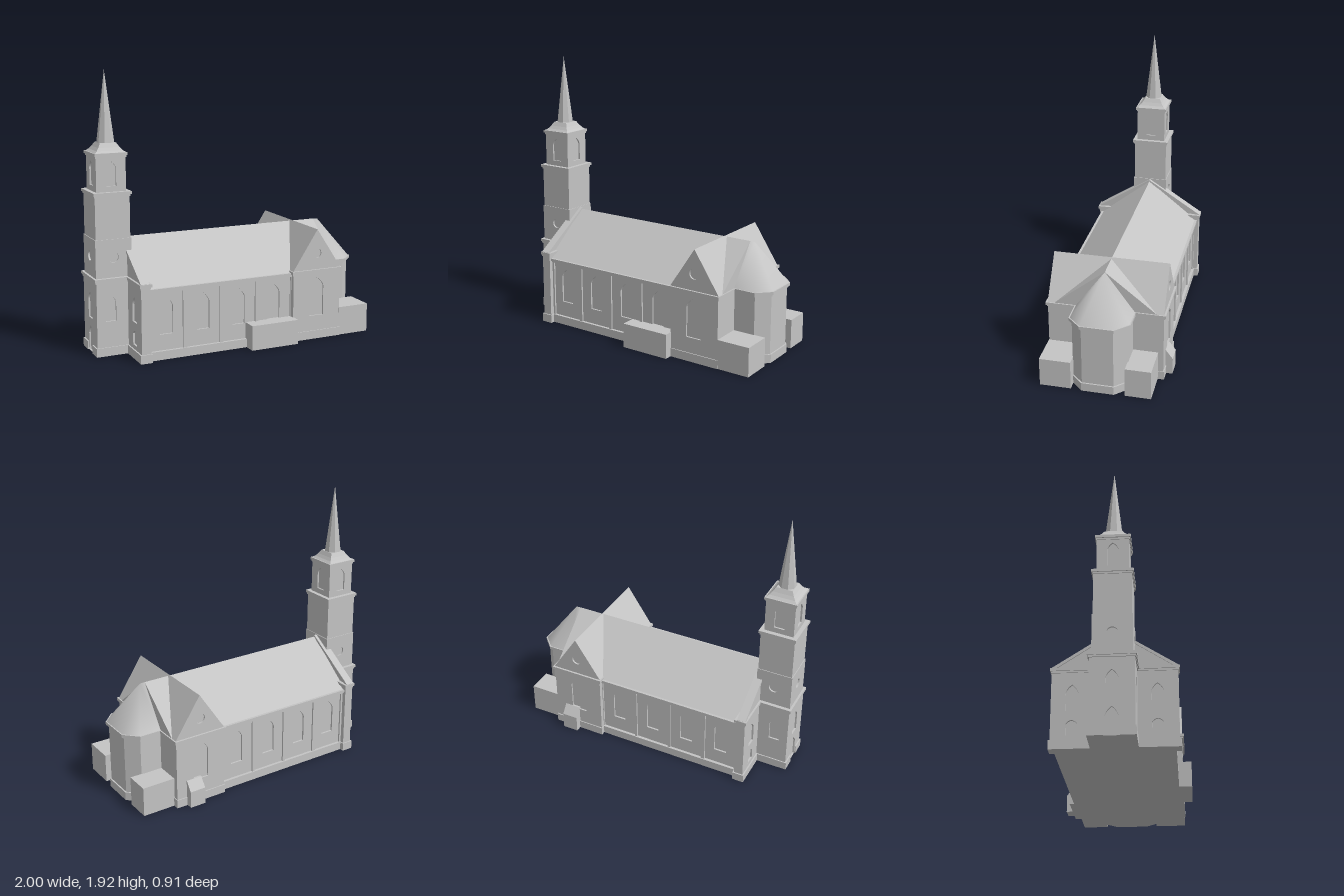
import * as THREE from 'three';

const stone = new THREE.MeshStandardMaterial({ color: 0xc4c4c4 });
stone.name = 'stone grey';

export function createModel() {
  const model = new THREE.Group();
  model.name = 'church';
  model.position.z = -0.006;

  const add = (name, geo) => {
    const m = new THREE.Mesh(geo, stone);
    m.name = name;
    model.add(m);
    return m;
  };
  const box = (name, x0, x1, y0, y1, z0, z1) =>
    add(name, new THREE.BoxGeometry(x1 - x0, y1 - y0, z1 - z0)
      .translate((x0 + x1) / 2, (y0 + y1) / 2, (z0 + z1) / 2));
  const poly = pts => new THREE.Shape(pts.map(p => new THREE.Vector2(...p)));
  const rect = (a, b, c, d) => poly([[a, c], [b, c], [b, d], [a, d]]);
  const extrude = (shape, depth) =>
    new THREE.ExtrudeGeometry(shape, { depth, bevelEnabled: false, curveSegments: 10 });

  // pointed arch and round openings
  const arch = (cx, y0, hw, spring, top) => {
    const p = new THREE.Path();
    p.moveTo(cx - hw, y0);
    p.lineTo(cx + hw, y0);
    p.lineTo(cx + hw, spring);
    p.quadraticCurveTo(cx + hw * 0.75, (spring + top) / 2 + 0.005, cx, top);
    p.quadraticCurveTo(cx - hw * 0.75, (spring + top) / 2 + 0.005, cx - hw, spring);
    p.lineTo(cx - hw, y0);
    return p;
  };
  const round = (cx, cy, r) => new THREE.Path().absarc(cx, cy, r, 0, Math.PI * 2);

  // wall slabs facing z (outline in x,y) and facing x (outline in z,y)
  const slabZ = (name, shape, holes, z0, z1) => {
    shape.holes = holes;
    return add(name, extrude(shape, z1 - z0).translate(0, 0, z0));
  };
  const slabX = (name, shape, holes, x0, x1) => {
    shape.holes = holes;
    return add(name, extrude(shape, x1 - x0).rotateY(-Math.PI / 2).translate(x1, 0, 0));
  };
  const bothSides = (name, makeShape, makeHoles, z0, z1) => {
    slabZ(name + 'Front', makeShape(), makeHoles(), z0, z1);
    slabZ(name + 'Back', makeShape(), makeHoles(), -z1, -z0);
  };

  // nave: core, window wall, pilaster frame, plinth, cornice, roof
  box('naveCore', -0.72, 0.745, 0, 0.49, -0.341, 0.341);
  const bayWindows = [-0.572, -0.305, -0.037, 0.235];
  const bays = [[-0.685, -0.455], [-0.428, -0.182], [-0.16, 0.088], [0.107, 0.365]];
  bothSides('naveWall', () => rect(-0.7, 0.38, 0, 0.48),
    () => bayWindows.map(x => arch(x, 0.17, 0.047, 0.365, 0.425)), 0.34, 0.354);
  bothSides('navePilasters', () => rect(-0.7, 0.38, 0, 0.48),
    () => bays.map(([a, b]) => rect(a, b, 0.06, 0.462)), 0.353, 0.366);
  box('navePlinth', -0.7, 0.38, 0, 0.06, -0.374, 0.374);
  box('naveFrieze', -0.7, 0.38, 0.464, 0.478, -0.374, 0.374);
  box('naveCornice', -0.7, 0.38, 0.476, 0.494, -0.384, 0.384);
  slabX('naveRoof', poly([[-0.384, 0.48], [0.384, 0.48], [0, 0.785]]), [], -0.72, 0.748);

  // transept with gables on both sides
  box('transeptCore', 0.37, 0.745, 0, 0.49, -0.386, 0.386);
  bothSides('transeptGable',
    () => poly([[0.37, 0], [0.745, 0], [0.745, 0.49], [0.752, 0.5], [0.5575, 0.794], [0.363, 0.5], [0.37, 0.49]]),
    () => [arch(0.555, 0.17, 0.057, 0.385, 0.45), round(0.555, 0.622, 0.036)], 0.385, 0.398);
  slabZ('transeptRoof', poly([[0.363, 0.5], [0.752, 0.5], [0.5575, 0.794]]), [], -0.386, 0.386);
  box('transeptFrieze', 0.363, 0.75, 0.474, 0.488, -0.404, 0.404);
  box('transeptCornice', 0.357, 0.757, 0.486, 0.507, -0.412, 0.412);
  box('transeptPlinth', 0.365, 0.75, 0, 0.06, -0.405, 0.405);

  // polygonal apse, all layers from one offset outline
  const apse = o => [[0.74, 0.19 + o], [0.9 + 0.4 * o, 0.19 + o], [0.98 + o, 0.108 + 0.4 * o],
    [0.98 + o, -0.108 - 0.4 * o], [0.9 + 0.4 * o, -0.19 - o], [0.74, -0.19 - o]];
  const apseLayer = (name, o, y0, y1) =>
    add(name, extrude(poly(apse(o)), y1 - y0).rotateX(-Math.PI / 2).translate(0, y0, 0));
  apseLayer('apseWall', 0, 0, 0.49);
  apseLayer('apsePlinth', 0.01, 0, 0.06);
  apseLayer('apseFrieze', 0.008, 0.474, 0.488);
  apseLayer('apseCornice', 0.019, 0.486, 0.507);
  const eave = apse(0.012);
  const roofPts = [[0.743, 0.785, 0], [0.785, 0.783, 0], ...eave.map(([x, z]) => [x, 0.506, z])];
  const roofIdx = [0, 2, 1, 0, 1, 7];
  for (let i = 2; i < 7; i++) roofIdx.push(i, i + 1, 1);
  const apseRoof = new THREE.BufferGeometry();
  apseRoof.setAttribute('position', new THREE.Float32BufferAttribute(roofPts.flat(), 3));
  apseRoof.setIndex(roofIdx);
  apseRoof.computeVertexNormals();
  add('apseRoof', apseRoof);

  // low annexes
  box('frontAnnex', 0.018, 0.376, 0, 0.175, 0.33, 0.461);
  box('eastAnnexFront', 0.74, 0.983, 0, 0.205, 0.185, 0.4);
  box('eastAnnexBack', 0.74, 0.983, 0, 0.21, -0.362, -0.185);
  slabX('cellarEntrance',
    poly([[-0.38, 0], [-0.449, 0], [-0.449, 0.12], [-0.4, 0.185], [-0.38, 0.185]]), [], 0.555, 0.67);

  // west facade with wing windows and raised gable parapet
  box('facadeCore', -0.752, -0.7, 0, 0.52, -0.396, 0.396);
  for (const s of [-1, 1]) {
    slabX('facadeWing', s > 0 ? rect(0.13, 0.396, 0, 0.52) : rect(-0.396, -0.13, 0, 0.52),
      [arch(s * 0.265, 0.25, 0.04, 0.37, 0.425), arch(s * 0.265, 0.09, 0.036, 0.165, 0.19)], -0.765, -0.751);
  }
  box('facadePlinth', -0.775, -0.692, 0, 0.06, -0.405, 0.405);
  box('facadeFrieze', -0.77, -0.698, 0.505, 0.52, -0.4, 0.4);
  box('facadeCornice', -0.776, -0.69, 0.518, 0.538, -0.406, 0.406);
  slabX('gableParapet', poly([[-0.392, 0.53], [0.392, 0.53], [0, 0.785]]), [], -0.762, -0.715);
  slabX('gableCoping', poly([[-0.4, 0.53], [-0.38, 0.53], [0, 0.778], [0.38, 0.53], [0.4, 0.53],
    [0.4, 0.54], [0, 0.798], [-0.4, 0.54]]), [], -0.768, -0.708);

  // tower stages: core with four slabs carrying recessed openings
  const tx = -0.857;
  const stage = (name, y0, y1, hx, hz, holesX, holesZ, d = 0.012) => {
    box(name + 'Core', tx - hx + d, tx + hx - d, y0, y1, -hz + d, hz - d);
    bothSides(name + 'Side', () => rect(tx - hx, tx + hx, y0, y1), holesZ, hz - d, hz);
    slabX(name + 'West', rect(-hz, hz, y0, y1), holesX(), tx - hx, tx - hx + d);
    slabX(name + 'East', rect(-hz, hz, y0, y1), holesX(), tx + hx - d, tx + hx);
  };
  const band = (name, y0, y1, hx, hz = hx) => box(name, tx - hx, tx + hx, y0, y1, -hz, hz);

  stage('towerBase', 0, 0.52, 0.13, 0.14,
    () => [arch(0, 0.24, 0.04, 0.37, 0.425), arch(0, 0.005, 0.042, 0.125, 0.185)],
    () => [arch(-0.888, 0.24, 0.038, 0.37, 0.425)]);
  for (const s of [-1, 1]) {
    // plinth leaves the west door clear
    box('towerPlinthWest', -0.996, -0.95, 0, 0.06, s > 0 ? 0.05 : -0.148, s > 0 ? 0.148 : -0.05);
    box('towerPlinthSide', -0.996, -0.75, 0, 0.06, s > 0 ? 0.135 : -0.148, s > 0 ? 0.148 : -0.135);
  }
  band('towerBaseFrieze', 0.505, 0.52, 0.137, 0.146);
  band('towerBaseCornice', 0.518, 0.538, 0.143, 0.152);
  const rose = c => () => [round(c, 0.675, 0.035)];
  stage('towerShaft', 0.53, 0.8, 0.127, 0.127, rose(0), rose(tx));
  band('towerUpperShaft', 0.8, 1.1, 0.122);
  band('towerFrieze', 1.085, 1.1, 0.127);
  band('towerCornice', 1.098, 1.117, 0.134);
  const lancet = c => () => [arch(c, 1.155, 0.036, 1.275, 1.322)];
  stage('belfry', 1.115, 1.36, 0.104, 0.104, lancet(0), lancet(tx));
  band('belfryFrieze', 1.345, 1.36, 0.108);
  band('belfryCornice', 1.358, 1.377, 0.115);

  // flared skirt roof and octagonal spire
  const flat = g => {
    const n = g.toNonIndexed();
    n.computeVertexNormals();
    return n;
  };
  const skirt = [[0.108, 1.376], [0.09, 1.39], [0.074, 1.41], [0.057, 1.438], [0, 1.438]]
    .map(([r, y]) => new THREE.Vector2(r * Math.SQRT2, y));
  add('skirtRoof', flat(new THREE.LatheGeometry(skirt, 4).rotateY(Math.PI / 4).translate(tx, 0, 0)));
  add('spire', flat(new THREE.ConeGeometry(0.06, 0.484, 8).rotateY(Math.PI / 8).translate(tx, 1.678, 0)));

  return model;
}
